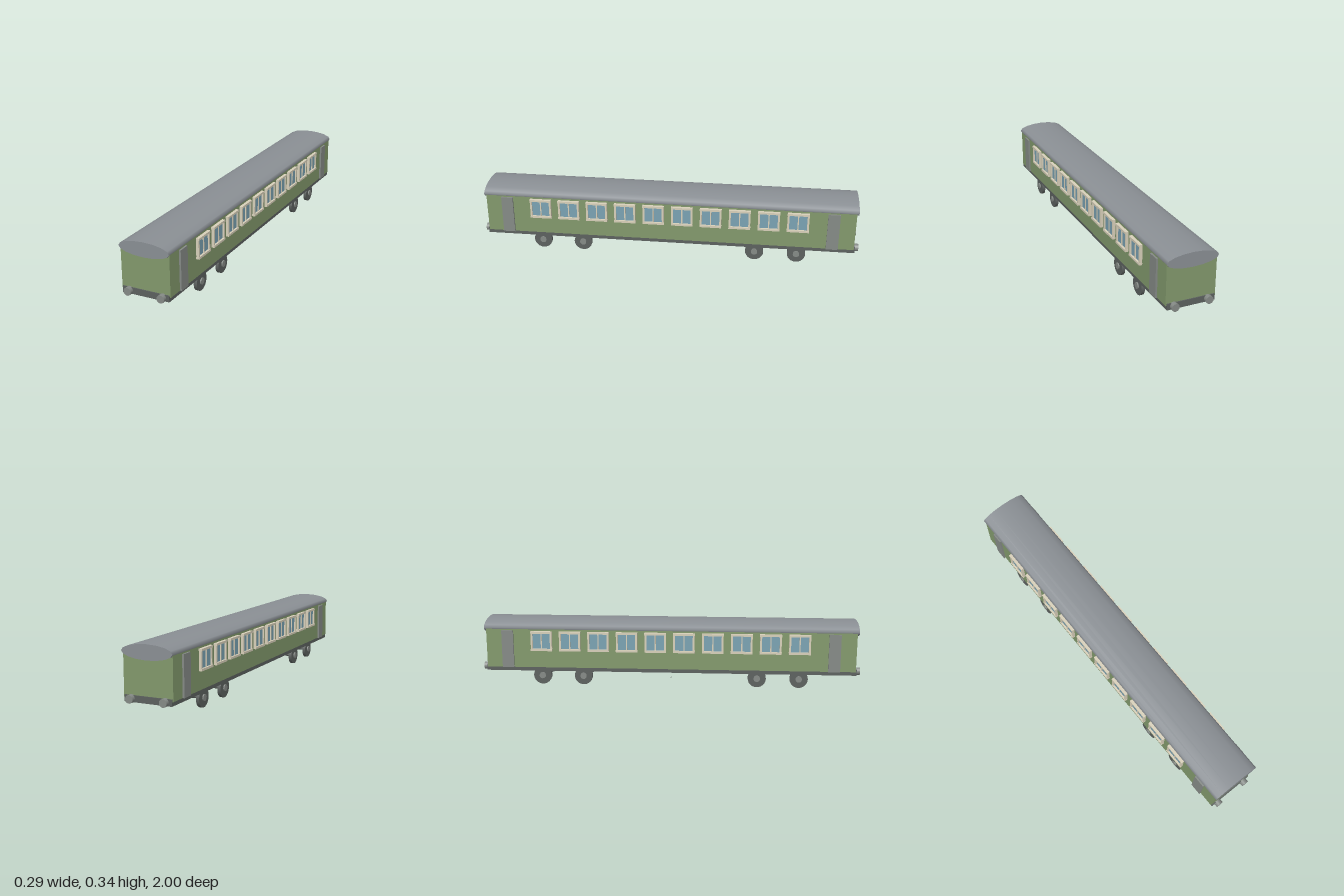
import * as THREE from 'three';

const mat = (color) => new THREE.MeshStandardMaterial({ color });

export function createModel() {
  const model = new THREE.Group();
  model.name = 'railwayCoach';
  const green = mat(0x82996c), roofGrey = mat(0x8a8f94), dark = mat(0x5c615f);
  const grey = mat(0x858a86), cream = mat(0xd8d0ba), blue = mat(0x7aa2b2);

  const add = (parent, name, geometry, material, x = 0, y = 0, z = 0) => {
    const mesh = new THREE.Mesh(geometry, material);
    mesh.name = name;
    mesh.position.set(x, y, z);
    parent.add(mesh);
    return mesh;
  };
  const box = (w, h, d) => new THREE.BoxGeometry(w, h, d);
  const rodX = (r, len, seg = 24) => new THREE.CylinderGeometry(r, r, len, seg).rotateZ(Math.PI / 2);
  const rodZ = (r, len, seg = 24) => new THREE.CylinderGeometry(r, r, len, seg).rotateX(Math.PI / 2);

  // Underframe, body and elliptical roof
  add(model, 'underframe', box(0.244, 0.032, 1.96), dark, 0, 0.088, 0);
  add(model, 'body', box(0.253, 0.2075, 1.95), green, 0, 0.196, 0);
  add(model, 'roof', rodZ(1, 1.97, 16).scale(0.131, 0.0365, 1), roofGrey, 0, 0.3055, 0);

  // Window unit, built facing +x with its back on the body side
  const makeWindow = () => {
    const win = new THREE.Group();
    win.name = 'window';
    add(win, 'glass', box(0.008, 0.09, 0.096), blue, 0.003, 0, 0);
    for (const s of [-1, 1]) {
      add(win, 'frameRail', box(0.018, 0.011, 0.114), cream, 0.008, s * 0.047, 0);
      add(win, 'frameStile', box(0.015, 0.084, 0.010), cream, 0.007, 0, s * 0.051);
    }
    add(win, 'mullion', box(0.013, 0.084, 0.006), cream, 0.005, 0, 0);
    return win;
  };

  for (const side of [-1, 1]) {
    // Ten windows and two doors along each side
    for (let i = 0; i < 10; i++) {
      const win = makeWindow();
      win.position.set(side * 0.126, 0.2375, (i - 4.5) * 0.151);
      if (side < 0) win.rotation.y = Math.PI;
      model.add(win);
    }
    for (const end of [-1, 1]) {
      add(model, 'door', box(0.02, 0.2, 0.062), grey, side * 0.126, 0.1925, end * 0.861);
      add(model, 'buffer', rodZ(0.0195, 0.03), grey, side * 0.087, 0.088, end * 0.985);
    }
  }

  // Four wheelsets: axle, wheels and raised hubs
  for (const z of [-0.68, -0.46, 0.46, 0.68]) {
    const set = new THREE.Group();
    set.name = 'wheelset';
    set.position.set(0, 0.048, z);
    add(set, 'axle', rodX(0.008, 0.22, 16), dark);
    for (const side of [-1, 1]) {
      add(set, 'wheel', rodX(0.048, 0.017), dark, side * 0.1135);
      add(set, 'hub', rodX(0.017, 0.022), grey, side * 0.117);
    }
    model.add(set);
  }

  // Tiny centre pin below the underframe
  add(model, 'centrePin', new THREE.SphereGeometry(0.003, 8, 6), dark, 0, 0.012, 0);
  return model;
}
